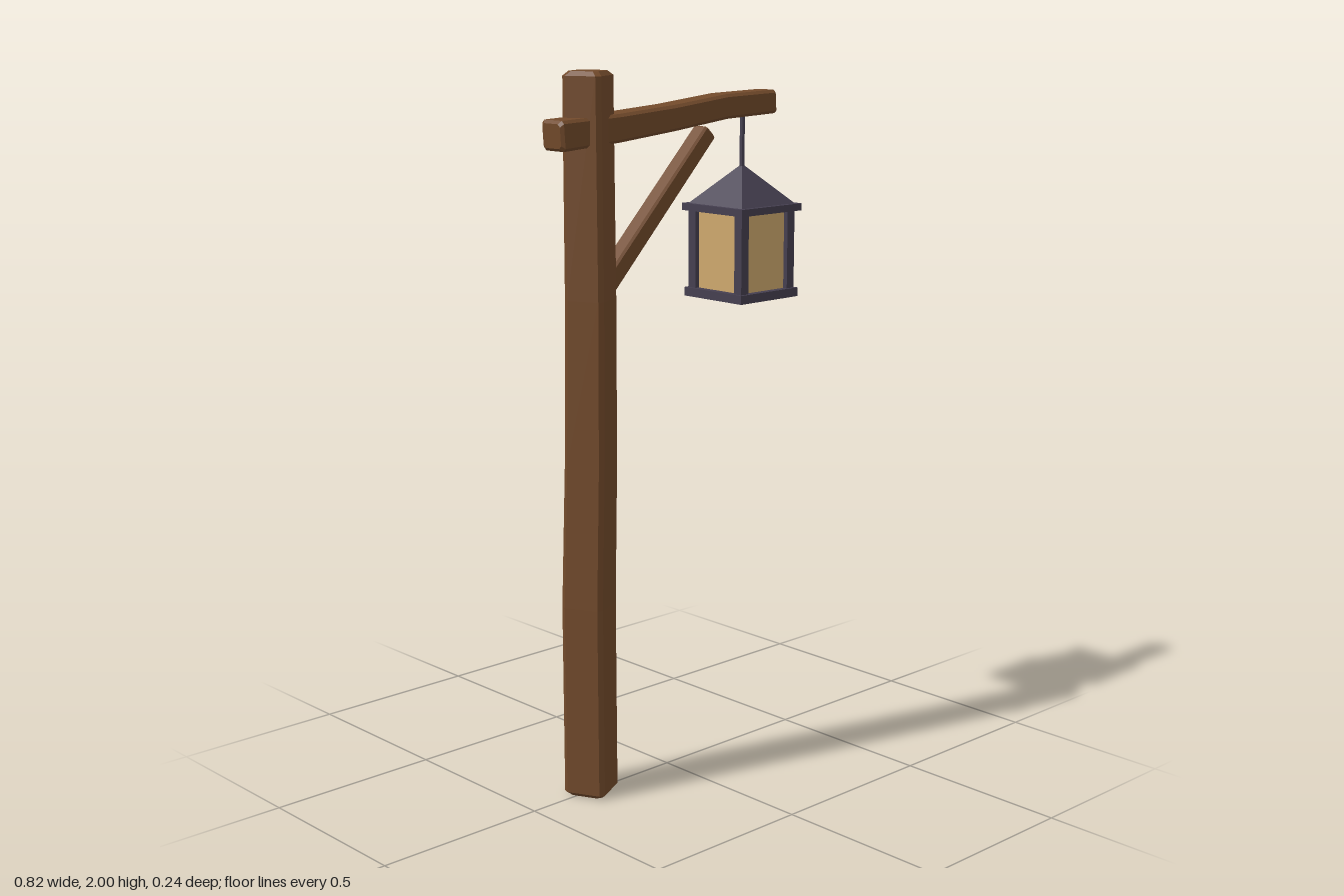
import * as THREE from 'three';

const wood = new THREE.MeshStandardMaterial({ color: 0x724a2b, flatShading: true });
wood.name = 'wood';
const iron = new THREE.MeshStandardMaterial({ color: 0x453f50, flatShading: true });
iron.name = 'iron';
const glass = new THREE.MeshStandardMaterial({ color: 0xcfa96e, flatShading: true });
glass.name = 'amberGlass';

// Chamfered timber lofted through rings [x, y, z, width along u, width along v]; u x v points along the beam.
function timber(name, rings, u, v, bevel) {
  const dir = u.clone().cross(v);
  const first = rings[0], last = rings[rings.length - 1];
  const shrink = (r) => [r[0], r[1], r[2], r[3] - 2 * bevel, r[4] - 2 * bevel];
  const step = (r, d) => [r[0] + dir.x * d, r[1] + dir.y * d, r[2] + dir.z * d, r[3], r[4]];
  const all = [shrink(first), step(first, bevel), ...rings.slice(1, -1), step(last, -bevel), shrink(last)];
  const pos = [], index = [];
  for (const [x, y, z, wu, wv] of all) {
    const a = wu / 2, b = wv / 2, c = bevel;
    const section = [[a, c - b], [a, b - c], [a - c, b], [c - a, b], [-a, b - c], [-a, c - b], [c - a, -b], [a - c, -b]];
    for (const [s, t] of section) {
      pos.push(x + u.x * s + v.x * t, y + u.y * s + v.y * t, z + u.z * s + v.z * t);
    }
  }
  const n = 8, top = (all.length - 1) * n;
  for (let k = 0; k < all.length - 1; k++) {
    for (let i = 0; i < n; i++) {
      const a = k * n + i, b = k * n + (i + 1) % n;
      index.push(a, b, b + n, a, b + n, a + n);
    }
  }
  for (let i = 1; i < n - 1; i++) {
    index.push(0, i + 1, i, top, top + i, top + i + 1);
  }
  const g = new THREE.BufferGeometry();
  g.setAttribute('position', new THREE.Float32BufferAttribute(pos, 3));
  g.setIndex(index);
  const flat = g.toNonIndexed();
  flat.computeVertexNormals();
  const mesh = new THREE.Mesh(flat, wood);
  mesh.name = name;
  return mesh;
}

function box(name, material, w, h, d, x, y, z) {
  const mesh = new THREE.Mesh(new THREE.BoxGeometry(w, h, d), material);
  mesh.position.set(x, y, z);
  mesh.name = name;
  return mesh;
}

function createLantern() {
  const lantern = new THREE.Group();
  lantern.name = 'lantern';
  lantern.add(box('lanternBase', iron, 0.228, 0.025, 0.228, 0, 1.358, 0));
  lantern.add(box('lanternEaves', iron, 0.24, 0.02, 0.24, 0, 1.601, 0));
  lantern.add(box('lanternGlass', glass, 0.184, 0.23, 0.184, 0, 1.48, 0));
  for (const sx of [-1, 1]) {
    for (const sz of [-1, 1]) {
      lantern.add(box('cornerPost', iron, 0.028, 0.23, 0.028, sx * 0.092, 1.48, sz * 0.092));
    }
  }
  // Four-sided roof
  const roof = new THREE.Mesh(new THREE.ConeGeometry(0.107 * Math.SQRT2, 0.112, 4), iron);
  roof.rotation.y = Math.PI / 4;
  roof.position.y = 1.666;
  roof.name = 'lanternRoof';
  lantern.add(roof);
  // Hanging rod
  const rod = new THREE.Mesh(new THREE.CylinderGeometry(0.007, 0.007, 0.18, 8), iron);
  rod.position.y = 1.79;
  rod.name = 'hangingRod';
  lantern.add(rod);
  lantern.position.x = 0.29;
  return lantern;
}

export function createModel() {
  const model = new THREE.Group();
  model.name = 'lanternPost';
  const X = new THREE.Vector3(1, 0, 0), Y = new THREE.Vector3(0, 1, 0), Z = new THREE.Vector3(0, 0, 1);

  // Upright, twisted about its own axis and slightly crooked
  const twist = THREE.MathUtils.degToRad(27);
  model.add(timber('post', [
    [-0.292, 0, 0, 0.12, 0.12],
    [-0.289, 0.55, -0.006, 0.12, 0.12],
    [-0.281, 0.95, -0.002, 0.116, 0.116],
    [-0.278, 1.4, -0.001, 0.112, 0.112],
    [-0.275, 2, -0.008, 0.109, 0.109],
  ], Z.clone().applyAxisAngle(Y, twist), X.clone().applyAxisAngle(Y, twist), 0.012));

  // Gently bowed cross arm
  const slope = 0.07;
  model.add(timber('crossArm', [
    [-0.407, 1.838, 0, 0.08, 0.086],
    [-0.2, 1.849, -0.002, 0.075, 0.085],
    [0, 1.866, 0.001, 0.07, 0.08],
    [0.2, 1.887, -0.002, 0.068, 0.076],
    [0.398, 1.893, -0.002, 0.066, 0.072],
  ], Y.clone().applyAxisAngle(Z, slope), Z, 0.008));

  // Diagonal brace
  const start = [-0.24, 1.422, 0], end = [0.145, 1.822, 0];
  const angle = Math.atan2(end[1] - start[1], end[0] - start[0]);
  model.add(timber('brace', [[...start, 0.052, 0.054], [...end, 0.05, 0.052]],
    Y.clone().applyAxisAngle(Z, angle), Z, 0.006));

  model.add(createLantern());
  return model;
}
